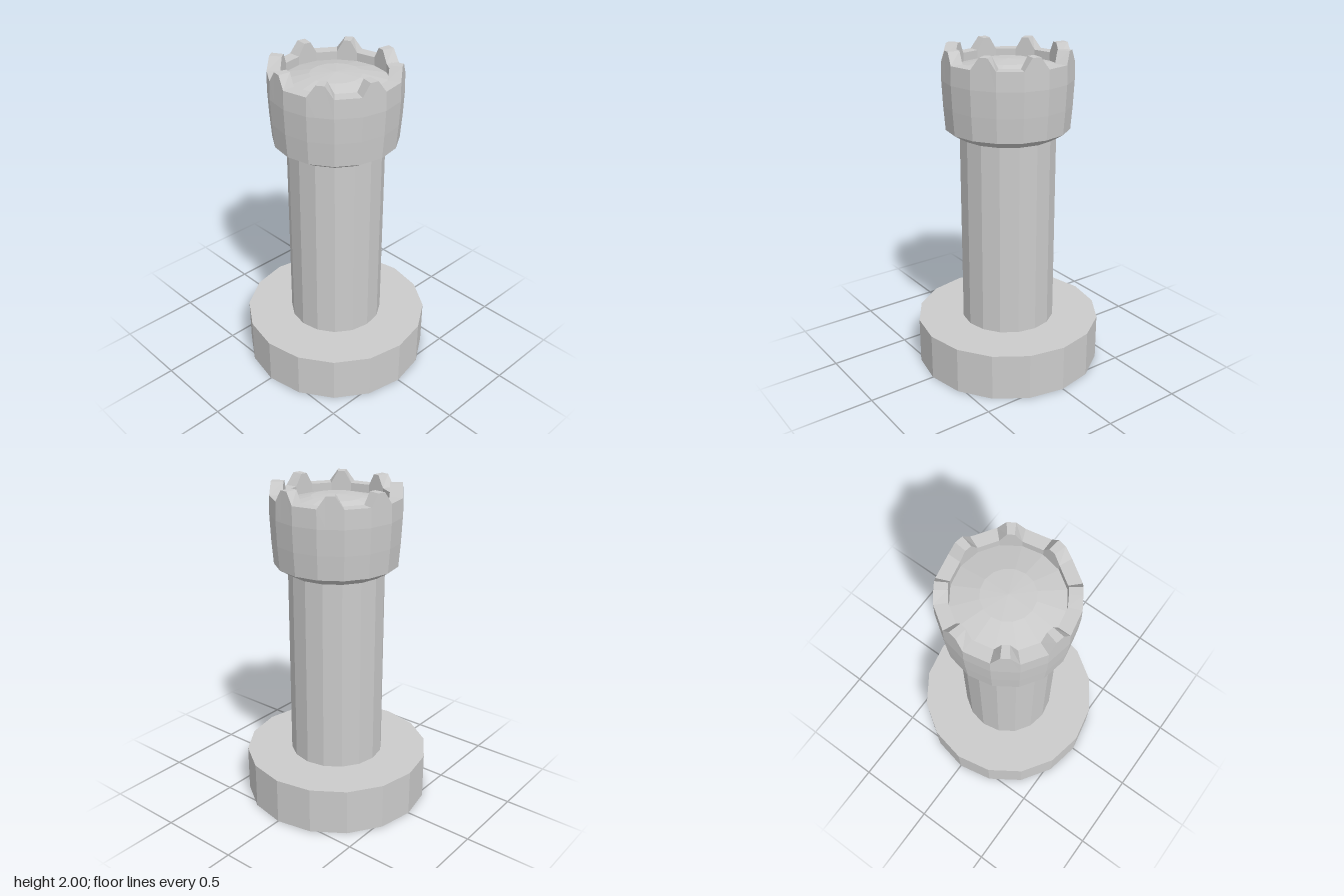
import * as THREE from 'three';

const SIDES = 16;
const material = new THREE.MeshStandardMaterial({ color: 0xcccccc, flatShading: true });

// Faceted turned part from a [radius, height] profile, listed from bottom to top
function turned(name, profile) {
  const points = profile.map(([r, y]) => new THREE.Vector2(r, y));
  const mesh = new THREE.Mesh(new THREE.LatheGeometry(points, SIDES), material);
  mesh.name = name;
  return mesh;
}

// Ring wall whose upper edge rises into a trapezoid tooth on every second side
function battlements() {
  const low = 1.93, high = 2, inner = 0.31;
  const corner = (k) => new THREE.Vector2(1, 0).rotateAround(new THREE.Vector2(), (k / SIDES) * Math.PI * 2);
  const sections = [];
  for (let k = 0; k < SIDES; k++) {
    const steps = k % 2 === 0 ? [0, 1 / 3, 2 / 3] : [0];
    for (const t of steps) {
      const d = corner(k).lerp(corner(k + 1), t);
      const top = t > 0 ? high : low;
      const outer = t > 0 ? 0.384 : 0.387;
      sections.push([[0.39, 1.82], [outer, top], [inner, top], [inner, 1.87]]
        .map(([r, y]) => [d.x * r, y, d.y * r]));
    }
  }
  const positions = [];
  sections.forEach((a, i) => {
    const b = sections[(i + 1) % sections.length];
    for (let j = 0; j < 3; j++) {
      positions.push(...a[j], ...a[j + 1], ...b[j + 1], ...a[j], ...b[j + 1], ...b[j]);
    }
  });
  const geometry = new THREE.BufferGeometry();
  geometry.setAttribute('position', new THREE.Float32BufferAttribute(positions, 3));
  geometry.computeVertexNormals();
  const mesh = new THREE.Mesh(geometry, material);
  mesh.name = 'battlements';
  return mesh;
}

export function createModel() {
  const tower = new THREE.Group();
  tower.name = 'tower';
  tower.add(
    // Wide round foot
    turned('base', [[0, 0], [0.575, 0], [0.575, 0.29], [0, 0.29]]),
    // Straight shaft
    turned('column', [[0.29, 0.29], [0.29, 1.49]]),
    // Flared collar and bulging head
    turned('head', [[0.28, 1.48], [0.295, 1.48], [0.372, 1.527], [0.383, 1.67], [0.39, 1.82]]),
    battlements(),
    // Shallow dome inside the crown
    turned('roof', [[0.31, 1.88], [0.15, 1.92], [0, 1.93]]),
  );
  return tower;
}
